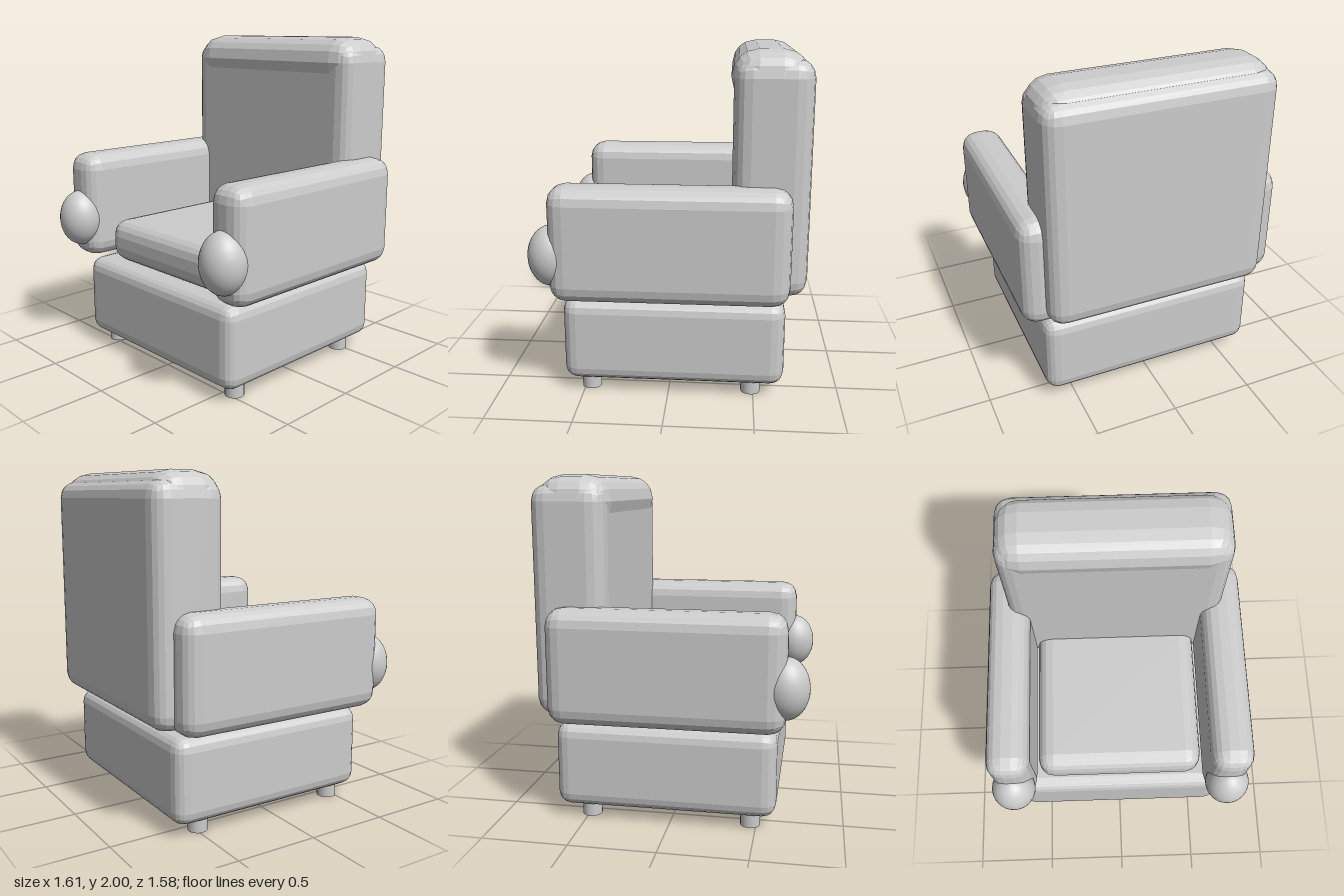
import * as THREE from 'three';
import { RoundedBoxGeometry } from 'three/addons/geometries/RoundedBoxGeometry.js';

export function createModel() {
  const model = new THREE.Group();
  model.name = 'armchair';
  const fabric = new THREE.MeshStandardMaterial({ color: 0xcccccc });
  fabric.name = 'light grey';

  function add(name, geometry, x, y, z) {
    const mesh = new THREE.Mesh(geometry, fabric);
    mesh.name = name;
    mesh.position.set(x, y, z);
    model.add(mesh);
    return mesh;
  }

  // Padded block between two corners, with faceted rounded edges
  function block(name, [x0, x1], [y0, y1], [z0, z1], radius) {
    const geometry = new RoundedBoxGeometry(x1 - x0, y1 - y0, z1 - z0, 2, radius);
    geometry.computeVertexNormals();
    return add(name, geometry, (x0 + x1) / 2, (y0 + y1) / 2, (z0 + z1) / 2);
  }

  block('base', [-0.675, 0.675], [0.075, 0.58], [-0.675, 0.615], 0.08);
  block('seatCushion', [-0.525, 0.525], [0.58, 0.85], [-0.45, 0.545], 0.1);
  block('backrest', [-0.675, 0.675], [0.62, 1.95], [-0.79, -0.355], 0.1);
  block('headRoll', [-0.675, 0.675], [1.7, 2], [-0.765, -0.34], 0.149);

  for (const [side, s] of [['left', 1], ['right', -1]]) {
    // Arm with a rounded knob on its front end
    block(side + 'Arm', s > 0 ? [0.54, 0.8] : [-0.8, -0.54], [0.6, 1.27], [-0.69, 0.665], 0.1);
    const knob = add(side + 'ArmKnob', new THREE.SphereGeometry(1, 32, 20), s * 0.67, 0.855, 0.655);
    knob.scale.set(0.135, 0.177, 0.135);

    // Short round feet
    for (const [end, z] of [['Front', 0.465], ['Back', -0.485]]) {
      add(side + end + 'Foot', new THREE.CylinderGeometry(0.058, 0.058, 0.09, 16), s * 0.56, 0.045, z);
    }
  }
  return model;
}
